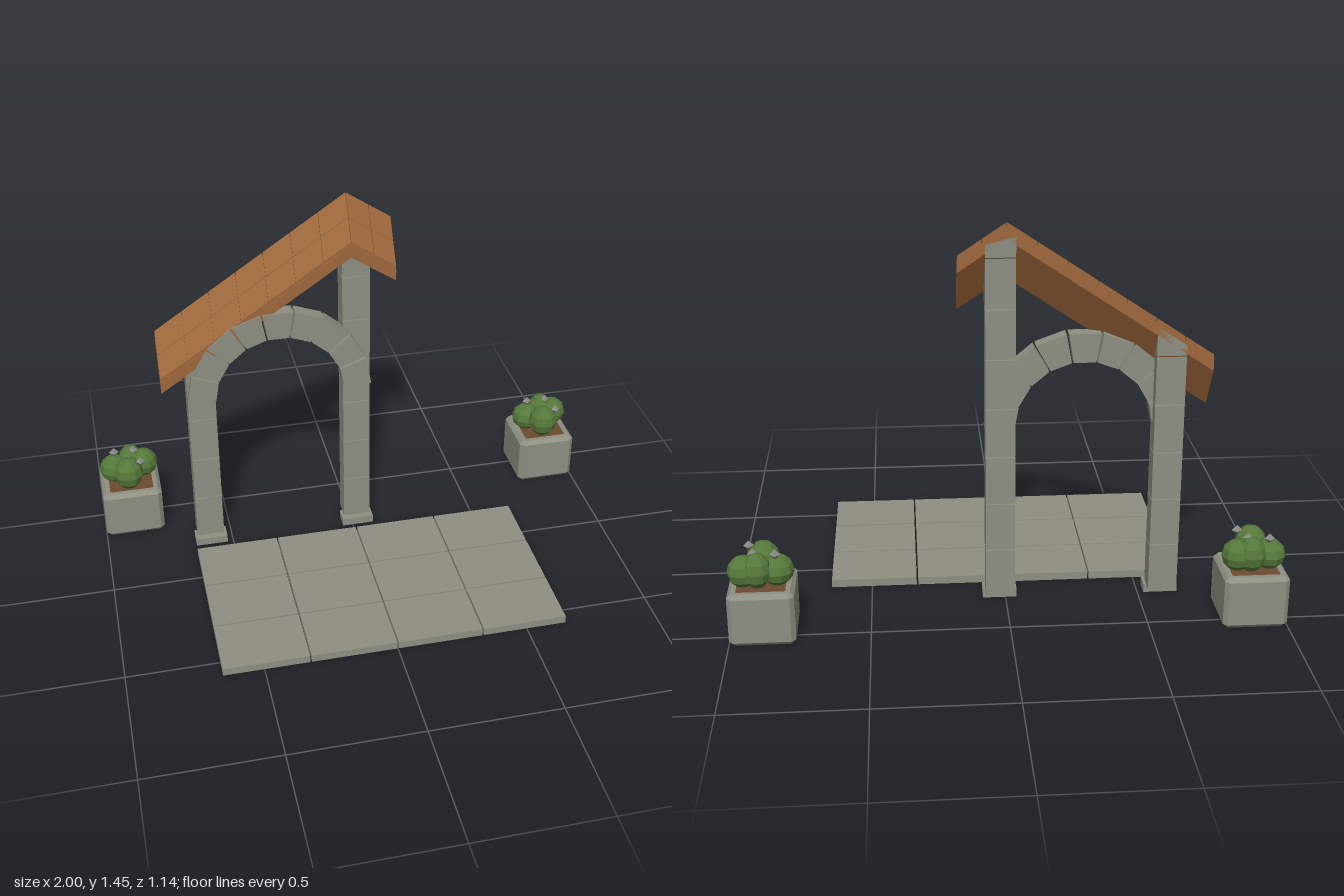
import * as THREE from 'three';

const stone = new THREE.MeshStandardMaterial({ color: 0x8e9082 });
stone.name = 'stone';
const wood = new THREE.MeshStandardMaterial({ color: 0x9e673c });
wood.name = 'roofBrown';
const soilMat = new THREE.MeshStandardMaterial({ color: 0x6e4a30 });
soilMat.name = 'soil';
const green = new THREE.MeshStandardMaterial({ color: 0x55793a });
green.name = 'cactusGreen';
const grey = new THREE.MeshStandardMaterial({ color: 0x8a8a86 });
grey.name = 'budGrey';

// Faceted mesh, optionally with a rule that moves each vertex
function add(parent, name, geometry, material, rule) {
  const g = geometry.index ? geometry.toNonIndexed() : geometry;
  if (rule) {
    const p = g.attributes.position;
    const v = new THREE.Vector3();
    for (let i = 0; i < p.count; i++) {
      rule(v.fromBufferAttribute(p, i));
      p.setXYZ(i, v.x, v.y, v.z);
    }
  }
  g.computeVertexNormals();
  const mesh = new THREE.Mesh(g, material);
  mesh.name = name;
  parent.add(mesh);
  return mesh;
}

// Box given by its limits
function span(x0, x1, y0, y1, z0, z1) {
  return new THREE.BoxGeometry(x1 - x0, y1 - y0, z1 - z0)
    .translate((x0 + x1) / 2, (y0 + y1) / 2, (z0 + z1) / 2);
}

function group(parent, name) {
  const g = new THREE.Group();
  g.name = name;
  parent.add(g);
  return g;
}

// Top surface of the roof: ridge at x = 0, pitched steeply to the front
const ROOF_BACK = -0.31, ROOF_FRONT = -0.212;
const roofY = (x, z) => 1.45 - 0.667 * Math.abs(x) - 1.62 * (z - ROOF_BACK);

function buildPavement(parent) {
  const g = group(parent, 'pavement');
  const w = 0.328, d = 0.241, gap = 0.003;
  for (let i = 0; i < 4; i++) {
    for (let j = 0; j < 3; j++) {
      const x = -0.656 + i * w, z = -0.15 + j * d;
      add(g, 'pavingSlab', span(x + gap, x + w - gap, 0, 0.03, z + gap, z + d - gap), stone);
    }
  }
}

// Stacked blocks, trimmed where they meet the roof
function buildPillar(parent, name, x0, x1, rows) {
  const g = group(parent, name);
  for (let i = 0; i < rows; i++) {
    const y = 0.033 + i * 0.1845;
    add(g, 'pillarBlock', span(x0, x1, y, y + 0.181, -0.31, -0.23), stone, v => {
      v.y = Math.min(v.y, roofY(v.x, v.z) - 0.03);
    });
  }
  add(g, 'pillarFoot', span(x0 - 0.01, x1 + 0.01, 0, 0.031, -0.27, -0.205), stone);
}

// Nine wedge stones in a half circle
function buildArch(parent) {
  const g = group(parent, 'arch');
  const step = Math.PI / 9, gap = 0.012;
  for (let i = 0; i < 9; i++) {
    const a = i * step + gap, b = (i + 1) * step - gap;
    const at = (r, t) => new THREE.Vector2(r * Math.cos(t), r * Math.sin(t));
    const shape = new THREE.Shape([at(0.25, a), at(0.359, a), at(0.359, b), at(0.25, b)]);
    const geo = new THREE.ExtrudeGeometry(shape, { depth: 0.058, bevelEnabled: false });
    add(g, 'archStone', geo.translate(-0.283, 0.675, -0.264), stone);
  }
}

function buildRoof(parent) {
  const g = group(parent, 'roof');
  // Box sheared onto the roof surface; top and bottom are offsets from it
  const slab = (name, x0, x1, z0, z1, top, bottom) =>
    add(g, name, span(x0, x1, bottom, top, z0, z1), wood, v => { v.y += roofY(v.x, v.z); });
  for (const [x0, x1, count] of [[-0.738, 0, 7], [0, 0.172, 2]]) {
    slab('roofBoard', x0, x1, ROOF_BACK, ROOF_FRONT, -0.015, -0.062);
    const w = (x1 - x0) / count, d = (ROOF_FRONT - ROOF_BACK) / 2;
    for (let i = 0; i < count; i++) {
      for (let j = 0; j < 2; j++) {
        const x = x0 + i * w, z = ROOF_BACK + j * d;
        slab('roofTile', x + 0.001, x + w - 0.001, z + 0.0007, z + d - 0.0007, 0, -0.015);
      }
    }
  }
}

// Bevelled box with a sunken top, from rings of [half width, corner cut, height]
function planterGeometry() {
  const rings = [[0, 0, 0], [0.104, 0.008, 0], [0.118, 0.016, 0.016], [0.118, 0.016, 0.185],
    [0.104, 0.008, 0.2], [0.087, 0.004, 0.2], [0.087, 0.004, 0.175]];
  const pos = [], idx = [];
  for (const [h, c, y] of rings) {
    const k = h - c;
    for (const [x, z] of [[h, -k], [h, k], [k, h], [-k, h], [-h, k], [-h, -k], [-k, -h], [k, -h]]) {
      pos.push(x, y, z);
    }
  }
  for (let r = 0; r < rings.length - 1; r++) {
    for (let i = 0; i < 8; i++) {
      const a = r * 8 + i, b = r * 8 + (i + 1) % 8;
      idx.push(a, a + 8, b, b, a + 8, b + 8);
    }
  }
  const g = new THREE.BufferGeometry();
  g.setAttribute('position', new THREE.Float32BufferAttribute(pos, 3));
  g.setIndex(idx);
  return g;
}

function buildPlanter(parent, name, x) {
  const g = group(parent, name);
  g.position.set(x, 0, -0.457);
  add(g, 'planterBox', planterGeometry(), stone);
  add(g, 'soil', span(-0.088, 0.088, 0.17, 0.192, -0.088, 0.088), soilMat);
  // Cactus bodies: x, y, z, radius, half height
  const bodies = [[-0.058, 0.25, -0.015, 0.06, 0.056], [0.062, 0.254, -0.028, 0.057, 0.058],
    [-0.005, 0.262, 0.052, 0.06, 0.067], [0.012, 0.262, -0.042, 0.052, 0.067]];
  bodies.forEach(([bx, y, z, r, h], i) => {
    const ball = add(g, 'cactus', new THREE.SphereGeometry(1, 10, 6), green);
    ball.position.set(bx, y, z);
    ball.scale.set(r, h, r);
    ball.rotation.y = i * 0.7;
  });
  // Small buds
  for (const [bx, y, z] of [[-0.053, 0.315, -0.03], [0.024, 0.318, -0.025], [0.046, 0.312, 0.055]]) {
    add(g, 'bud', new THREE.OctahedronGeometry(0.02), grey).position.set(bx, y, z);
  }
}

export function createModel() {
  const model = new THREE.Group();
  model.name = 'gateway';
  buildPavement(model);
  buildPillar(model, 'shortPillar', -0.64, -0.533, 6);
  buildPillar(model, 'tallPillar', -0.032, 0.075, 8);
  buildArch(model);
  buildRoof(model);
  buildPlanter(model, 'rightPlanter', -0.881);
  buildPlanter(model, 'leftPlanter', 0.881);
  return model;
}
